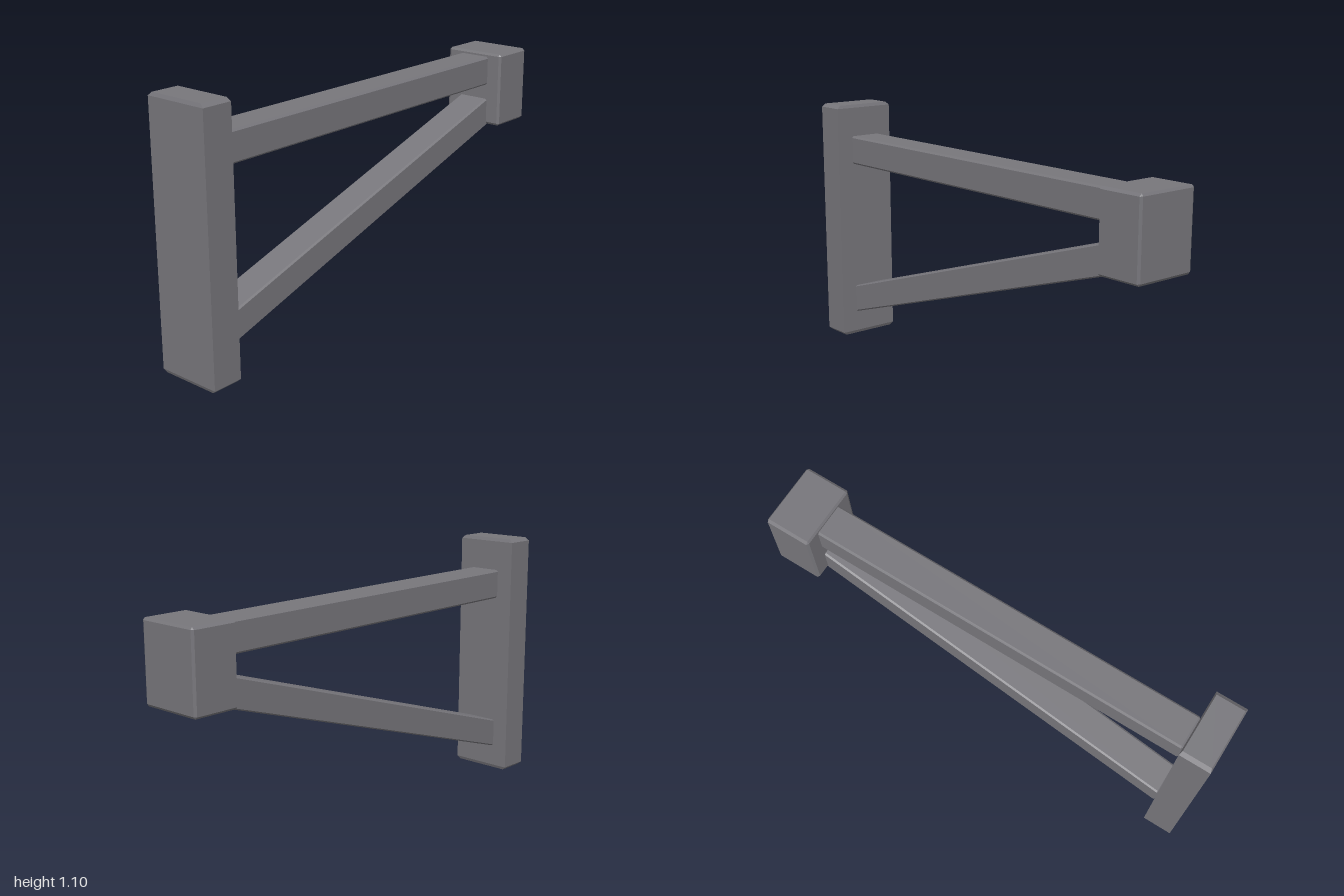
import * as THREE from 'three';
import { ConvexGeometry } from 'three/addons/geometries/ConvexGeometry.js';

const steel = new THREE.MeshStandardMaterial({ color: 0x77767b });
steel.name = 'grey steel';

// Chamfered block between two corners; c = chamfer depth per axis.
// sharpSides keeps the vertical edges square; slope shears y along x.
function block(name, min, max, c, { sharpSides = false, slope = 0 } = {}) {
  const mid = min.map((v, i) => (v + max[i]) / 2);
  const half = min.map((v, i) => (max[i] - v) / 2);
  const points = [];
  for (const sx of [-1, 1]) for (const sy of [-1, 1]) for (const sz of [-1, 1]) {
    const s = [sx, sy, sz];
    const add = (cut) => {
      const p = s.map((sign, i) => mid[i] + sign * (half[i] - cut[i]));
      points.push(new THREE.Vector3(p[0], p[1] + slope * (p[0] - min[0]), p[2]));
    };
    add([c[0], 0, c[2]]);
    if (sharpSides) add([0, c[1], 0]);
    else {
      add([0, c[1], c[2]]);
      add([c[0], c[1], 0]);
    }
  }
  const mesh = new THREE.Mesh(new ConvexGeometry(points), steel);
  mesh.name = name;
  return mesh;
}

export function createModel() {
  const group = new THREE.Group();
  group.name = 'wallBracket';
  group.add(
    // Upright plate that fixes to the wall
    block('wallPlate', [-1, 0, -0.143], [-0.868, 1.1, 0.143], [0.006, 0.014, 0.016], { sharpSides: true }),
    // Block at the free end
    block('endBlock', [0.798, 0.641, -0.143], [1, 0.974, 0.143], [0.007, 0.01, 0.011]),
    // Level arm
    block('upperArm', [-0.868, 0.826, -0.074], [0.82, 0.956, 0.074], [0.008, 0.008, 0.008]),
    // Sloping brace with upright ends
    block('diagonalBrace', [-0.868, 0.109, -0.074], [0.822, 0.238, 0.074], [0.006, 0.006, 0.008], { slope: 0.313 }),
  );
  return group;
}
